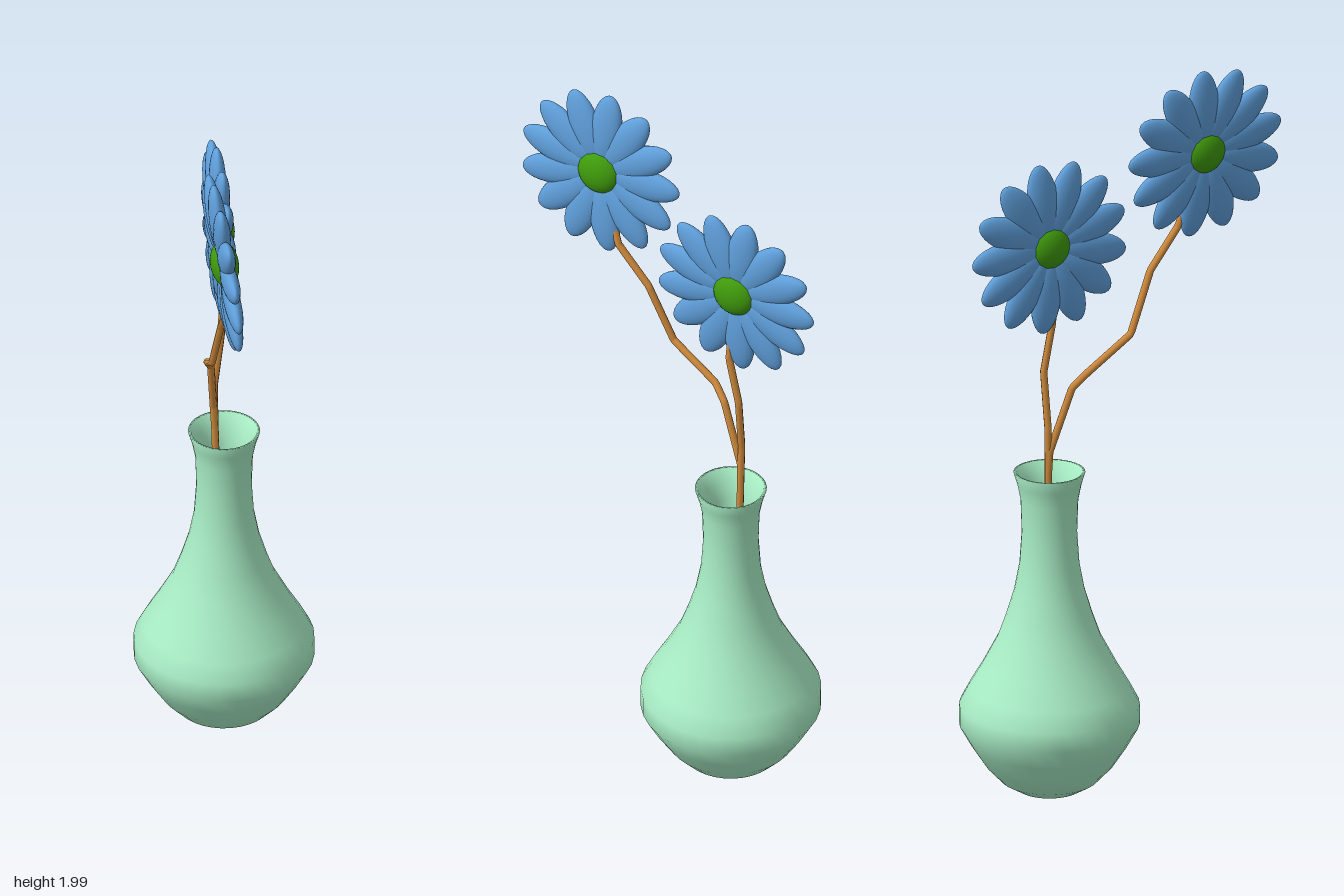
import * as THREE from 'three';

const V2 = (x, y) => new THREE.Vector2(x, y);
const mat = (color, side = THREE.FrontSide) => new THREE.MeshStandardMaterial({ color, side });

const vaseMat = mat(0xa8edc5, THREE.DoubleSide);
const petalMat = mat(0x5f9fdb);
const centreMat = mat(0x3f9a0c);
const stemMat = mat(0xcf8a3c);

const VASE_Z = -0.215;

// Vase: one lathe running up the outside, over the lip and down the inside
function makeVase() {
  const outer = [
    V2(0, 0.008), V2(0.045, 0.01), V2(0.085, 0.02), V2(0.13, 0.047), V2(0.172, 0.092), V2(0.21, 0.15),
    V2(0.241, 0.205), V2(0.241, 0.26), V2(0.215, 0.31), V2(0.18, 0.37), V2(0.138, 0.45),
    V2(0.115, 0.515), V2(0.094, 0.585), V2(0.08, 0.66), V2(0.074, 0.75), V2(0.077, 0.84),
    V2(0.086, 0.885), V2(0.096, 0.918),
  ];
  const inner = [
    V2(0.088, 0.918), V2(0.072, 0.885), V2(0.056, 0.84), V2(0.05, 0.75), V2(0.056, 0.66),
    V2(0.09, 0.515), V2(0.155, 0.37), V2(0.215, 0.26), V2(0.185, 0.15), V2(0.1, 0.06), V2(0, 0.04),
  ];
  const vase = new THREE.Mesh(new THREE.LatheGeometry([...outer, ...inner], 32), vaseMat);
  vase.name = 'vase';
  vase.position.z = VASE_Z;
  return vase;
}

// Stem: thin tube along straight, kinked twig sections
function makeStem(name, points) {
  const path = new THREE.CurvePath();
  const pts = points.map((p) => new THREE.Vector3(...p));
  for (let i = 1; i < pts.length; i++) path.add(new THREE.LineCurve3(pts[i - 1], pts[i]));
  const stem = new THREE.Mesh(new THREE.TubeGeometry(path, 90, 0.01, 8), stemMat);
  stem.name = name;
  return stem;
}

// Flower facing along x: a ring of plump petals around a flattened centre
function makeFlower(name, position, phase) {
  const flower = new THREE.Group();
  flower.name = name;
  flower.position.set(...position);

  const petalGeo = new THREE.SphereGeometry(1, 20, 16);
  petalGeo.scale(0.023, 0.11, 0.046);
  petalGeo.translate(0, 0.132, 0);
  const count = 13;
  for (let i = 0; i < count; i++) {
    const petal = new THREE.Mesh(petalGeo, petalMat);
    petal.name = 'petal';
    petal.rotation.x = phase + (i / count) * Math.PI * 2;
    flower.add(petal);
  }

  const centre = new THREE.Mesh(new THREE.SphereGeometry(1, 32, 24), centreMat);
  centre.name = 'flowerCentre';
  centre.scale.set(0.038, 0.062, 0.062);
  centre.position.x = 0.004;
  flower.add(centre);
  return flower;
}

export function createModel() {
  const model = new THREE.Group();
  model.name = 'flowerVase';
  model.add(makeVase());

  // Lower flower stands above the vase
  model.add(makeStem('lowerStem', [
    [-0.01, 0.45, -0.228], [-0.022, 0.92, -0.232], [-0.024, 1.05, -0.234],
    [-0.005, 1.207, -0.236], [-0.004, 1.345, -0.207], [-0.012, 1.53, -0.22],
  ]));
  model.add(makeFlower('lowerFlower', [-0.013, 1.56, -0.222], -0.157));

  // Upper flower leans forward on a crooked branch
  model.add(makeStem('upperStem', [
    [-0.022, 0.92, -0.232], [-0.026, 0.985, -0.23], [-0.042, 1.16, -0.17], [-0.058, 1.2, -0.133],
    [-0.064, 1.287, 0], [-0.05, 1.45, 0.07], [-0.045, 1.557, 0.16], [-0.066, 1.73, 0.22],
  ]));
  const upper = makeFlower('upperFlower', [-0.068, 1.76, 0.23], -0.087);
  upper.rotation.set(0, 0.02, 0.09);
  model.add(upper);

  return model;
}
